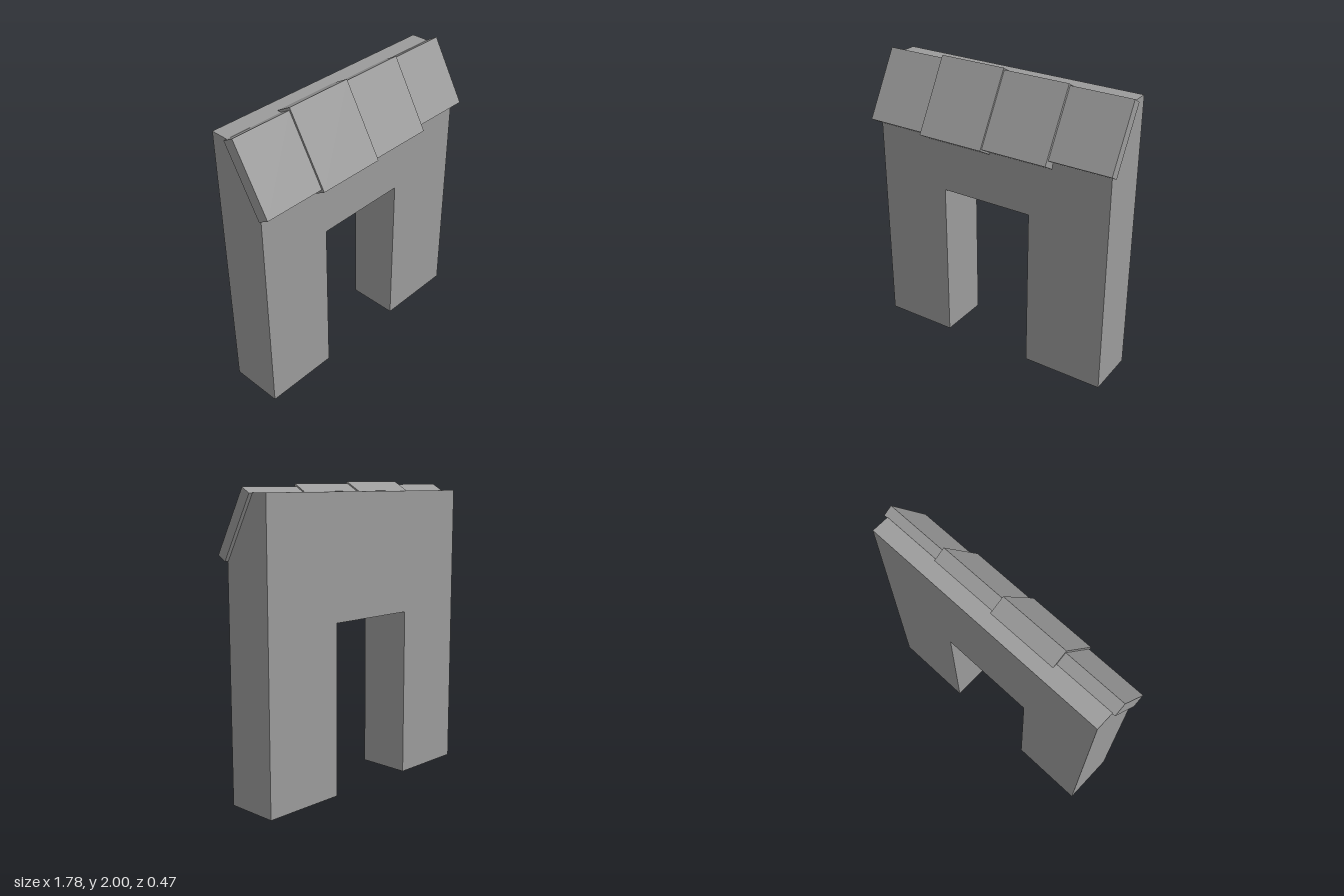
import * as THREE from 'three';

const material = new THREE.MeshStandardMaterial({ color: 0x9b9b9b, flatShading: true });
const BACK = -0.232, RIDGE = -0.11, FRONT = 0.127; // z of the wall's back, ridge and front
const EAVE = 1.53, TOP = 1.938;
const TAPER = 0.003; // the wall is slightly thicker at its -x end

// Archway wall: extruded in two steps, then the back and ridge layers are raised to make the front slope
function makeWall() {
  const outline = [
    [-0.872, 0], [-0.353, 0], [-0.353, 1.13], [0.303, 1.13],
    [0.303, 0], [0.867, 0], [0.867, EAVE], [-0.872, EAVE],
  ].map(([x, y]) => new THREE.Vector2(x, y));
  const geometry = new THREE.ExtrudeGeometry(new THREE.Shape(outline), { depth: 2, steps: 2, bevelEnabled: false });
  const layers = [BACK, RIDGE, FRONT];
  const p = geometry.attributes.position;
  for (let i = 0; i < p.count; i++) {
    const layer = Math.round(p.getZ(i));
    p.setZ(i, layers[layer] + (1 - layer) * TAPER * p.getX(i));
    if (layer < 2 && p.getY(i) > 1.5) p.setY(i, TOP);
  }
  geometry.computeVertexNormals();
  const wall = new THREE.Mesh(geometry, material);
  wall.name = 'archwayWall';
  return wall;
}

// Roof slab leaning back 30 degrees, placed by its outer lower edge
function makeSlab({ x0, x1, y, z, length, thickness }) {
  const slab = new THREE.Mesh(new THREE.BoxGeometry(x1 - x0, length, thickness), material);
  slab.rotation.x = -Math.PI / 6;
  const offset = new THREE.Vector3(0, length / 2, -thickness / 2).applyEuler(slab.rotation);
  slab.position.set((x0 + x1) / 2, y, z).add(offset);
  return slab;
}

export function createModel() {
  const model = new THREE.Group();
  model.name = 'archwayWithSlopedRoof';
  model.add(makeWall());

  // Four uneven slabs side by side
  const roof = new THREE.Group();
  roof.name = 'roofSlabs';
  [
    { x0: -0.892, x1: -0.466, y: 1.546, z: 0.212, length: 0.5, thickness: 0.088 },
    { x0: -0.466, x1: 0.008, y: 1.536, z: 0.233, length: 0.535, thickness: 0.121 },
    { x0: 0.008, x1: 0.468, y: 1.54, z: 0.216, length: 0.514, thickness: 0.093 },
    { x0: 0.468, x1: 0.892, y: 1.566, z: 0.181, length: 0.466, thickness: 0.071 },
  ].forEach((spec, i) => {
    const slab = makeSlab(spec);
    slab.name = `roofSlab${i + 1}`;
    roof.add(slab);
  });
  model.add(roof);
  return model;
}
